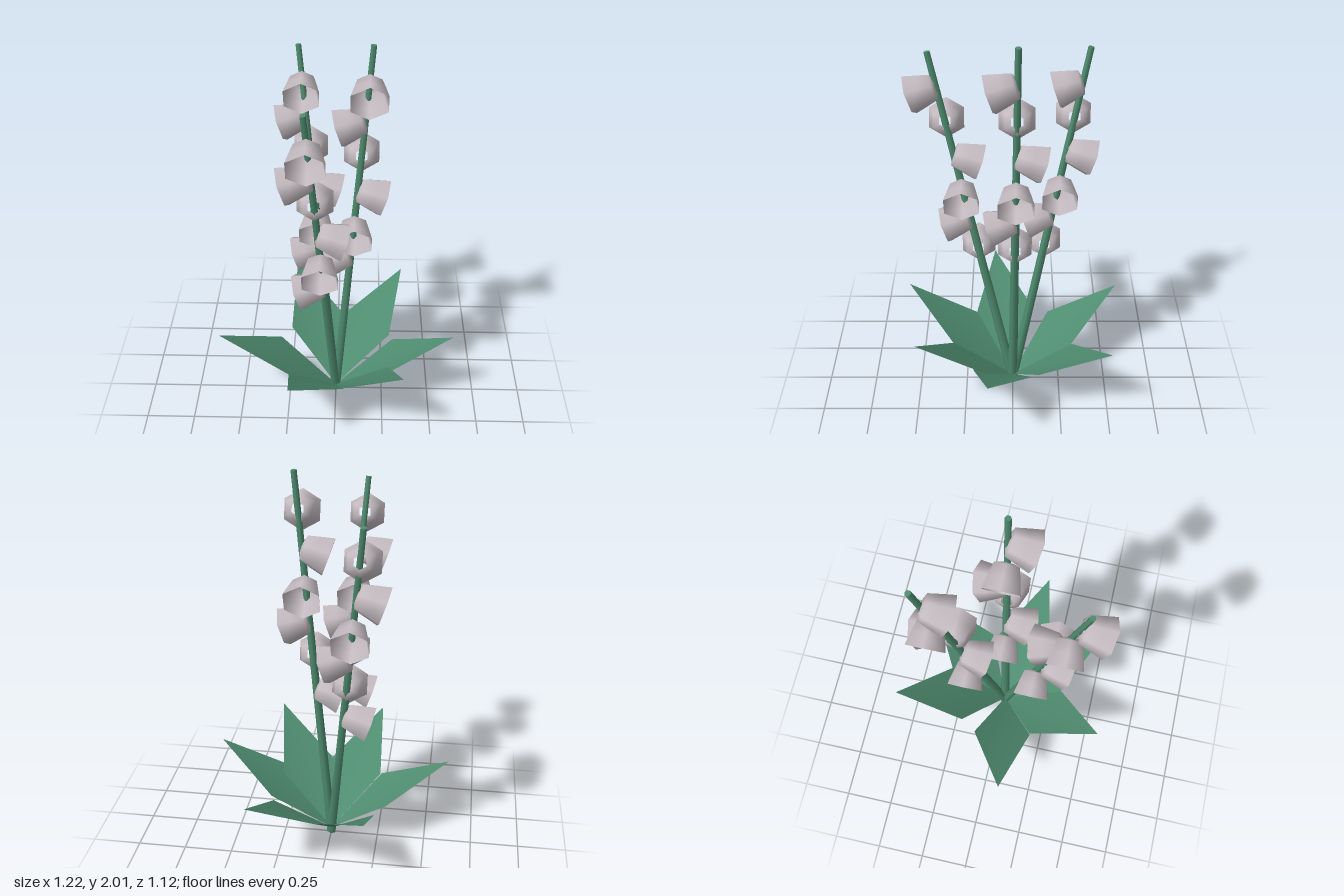
import * as THREE from 'three';

const green = new THREE.MeshStandardMaterial({ color: 0x4f8c70, side: THREE.DoubleSide });
green.name = 'leaf green';
const pale = new THREE.MeshStandardMaterial({ color: 0xc6bdc2, side: THREE.DoubleSide });
pale.name = 'pale petal';

const V = (x, y, z) => new THREE.Vector3(x, y, z);

// Six-sided bell flower, open at both ends, its mouth facing +z and tipped downward
function bellGeometry() {
  const profile = [[0.032, 0], [0.066, 0.01], [0.083, 0.07], [0.1, 0.135]];
  const g = new THREE.LatheGeometry(profile.map(p => new THREE.Vector2(...p)), 6);
  g.rotateX(Math.PI / 2 + 0.33);
  return g;
}

// Kite-shaped leaf: root, two side corners, a slightly sunken midrib and a tip
function leafGeometry(tip) {
  const root = V(0, 0.02, 0);
  const mid = V(tip.x * 0.45, 0.23, tip.z * 0.45);
  const side = V(-tip.z, 0, tip.x).normalize().multiplyScalar(0.155);
  const a = mid.clone().add(side), b = mid.clone().sub(side);
  a.y = b.y = 0.26;
  const g = new THREE.BufferGeometry().setFromPoints([root, a, b, mid, tip]);
  g.setIndex([0, 3, 1, 0, 2, 3, 3, 4, 1, 3, 2, 4]);
  g.computeVertexNormals();
  return g;
}

// Tapered six-sided stem from the ground to its tip
function makeStem(tip) {
  const len = tip.length();
  const g = new THREE.CylinderGeometry(0.015, 0.025, len, 6);
  g.translate(0, len / 2, 0);
  const m = new THREE.Mesh(g, green);
  m.quaternion.setFromUnitVectors(V(0, 1, 0), tip.clone().normalize());
  m.name = 'stem';
  return m;
}

export function createModel() {
  const model = new THREE.Group();
  model.name = 'bellflowerPlant';

  // Rosette of leaves
  const leaves = new THREE.Group();
  leaves.name = 'leaves';
  const tips = [
    [0.61, 0.455, 0.12], [0.36, 0.45, -0.5], [-0.23, 0.455, -0.56],
    [-0.61, 0.43, 0.1], [-0.22, 0.47, 0.56], [0.34, 0.49, 0.49],
  ];
  for (const t of tips) {
    const leaf = new THREE.Mesh(leafGeometry(V(...t)), green);
    leaf.name = 'leaf';
    leaves.add(leaf);
  }
  model.add(leaves);

  // Three leaning stalks, each with six bells spiralling down in quarter turns
  const bell = bellGeometry();
  for (const t of [[0.17, 2, -0.025], [-0.13, 1.86, 0.4], [-0.19, 1.86, -0.37]]) {
    const tip = V(...t);
    const stalk = new THREE.Group();
    stalk.name = 'stalk';
    stalk.add(makeStem(tip));
    for (let i = 0; i < 6; i++) {
      const flower = new THREE.Mesh(bell, pale);
      flower.name = 'bellFlower';
      flower.position.copy(tip).multiplyScalar(0.908 - 0.0935 * i);
      flower.rotation.y = -i * Math.PI / 2;
      stalk.add(flower);
    }
    model.add(stalk);
  }
  return model;
}
